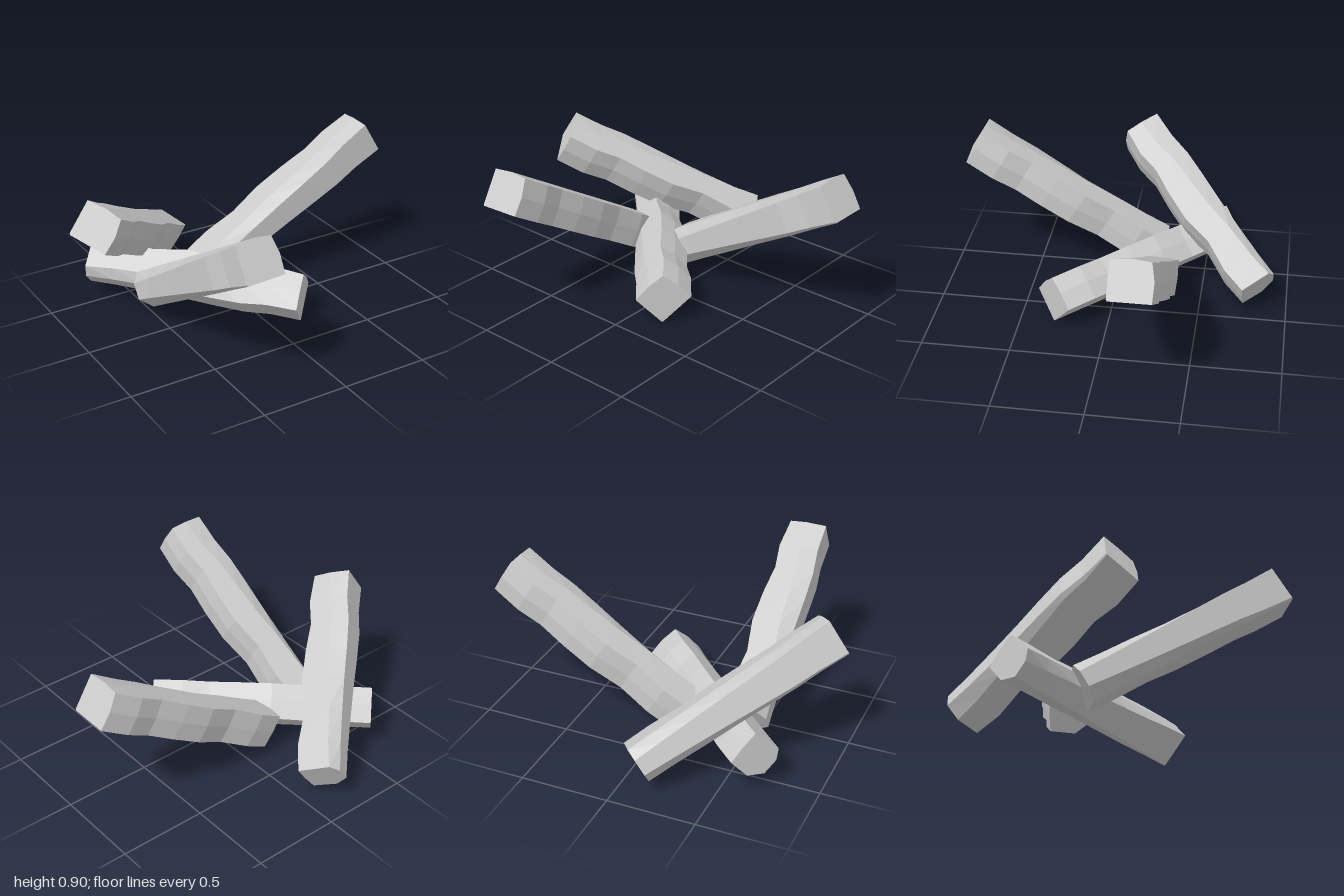
import * as THREE from 'three';

// Cross-sections of a rough-hewn log (across, up), counter-clockwise seen from the far end
const START = [[-0.04, -0.108], [0.11, -0.1], [0.12, 0], [0.12, 0.1], [-0.08, 0.108], [-0.125, 0.05], [-0.125, -0.045]];
const END = [[-0.115, -0.108], [0.12, -0.106], [0.125, 0], [0.105, 0.1], [0, 0.11], [-0.12, 0.1], [-0.122, -0.1]];

// Sideways wobble along the log: [position, shift, width factor]
const WOBBLE = [
  [0, 0.008, 0.9], [0.13, 0.016, 0.95], [0.29, 0.002, 0.87], [0.45, 0.014, 1.02],
  [0.6, 0.005, 1.03], [0.74, -0.008, 0.97], [0.86, 0.007, 0.99], [1, -0.005, 0.94],
];

// Skin the rings into a closed log of the given length, centred on the z axis
function logGeometry(length) {
  const positions = [];
  const index = [];
  const n = START.length;
  for (const [t, shift, width] of WOBBLE) {
    for (let i = 0; i < n; i++) {
      const u = THREE.MathUtils.lerp(START[i][0], END[i][0], t);
      const v = THREE.MathUtils.lerp(START[i][1], END[i][1], t);
      positions.push(u * width + shift, v, t * length);
    }
  }
  const last = (WOBBLE.length - 1) * n;
  for (let r = 0; r < last; r += n) {
    for (let i = 0; i < n; i++) {
      const j = (i + 1) % n;
      index.push(r + i, r + j, r + n + j, r + i, r + n + j, r + n + i);
    }
  }
  // End caps
  for (let i = 1; i < n - 1; i++) {
    index.push(0, i + 1, i, last, last + i, last + i + 1);
  }
  const geometry = new THREE.BufferGeometry();
  geometry.setAttribute('position', new THREE.Float32BufferAttribute(positions, 3));
  geometry.setIndex(index);
  const flat = geometry.toNonIndexed();
  flat.computeVertexNormals();
  return flat;
}

export function createModel() {
  const group = new THREE.Group();
  group.name = 'logPile';
  const material = new THREE.MeshStandardMaterial({ color: 0xcccccc, flatShading: true });

  // Lay a log between two points, rolled about its own axis (degrees)
  function addLog(name, from, to, roll) {
    const a = new THREE.Vector3(...from);
    const w = new THREE.Vector3(...to).sub(a);
    const mesh = new THREE.Mesh(logGeometry(w.length()), material);
    w.normalize();
    const u = new THREE.Vector3(0, 1, 0).cross(w).normalize();
    const v = w.clone().cross(u);
    mesh.quaternion.setFromRotationMatrix(new THREE.Matrix4().makeBasis(u, v, w));
    mesh.rotateZ(THREE.MathUtils.degToRad(roll));
    mesh.position.copy(a);
    mesh.name = name;
    group.add(mesh);
  }

  addLog('groundLog', [-0.68, 0.205, -0.6], [0.185, 0.16, 0.305], 45);
  addLog('leftLog', [-0.14, 0.16, -0.25], [0.942, 0.808, -0.235], 0);
  addLog('frontLog', [-0.49, 0.16, -0.22], [-0.435, 0.808, 0.853], 0);
  addLog('backLog', [-0.1, 0.16, -0.835], [-0.885, 0.71, -0.055], -23);

  return group;
}
